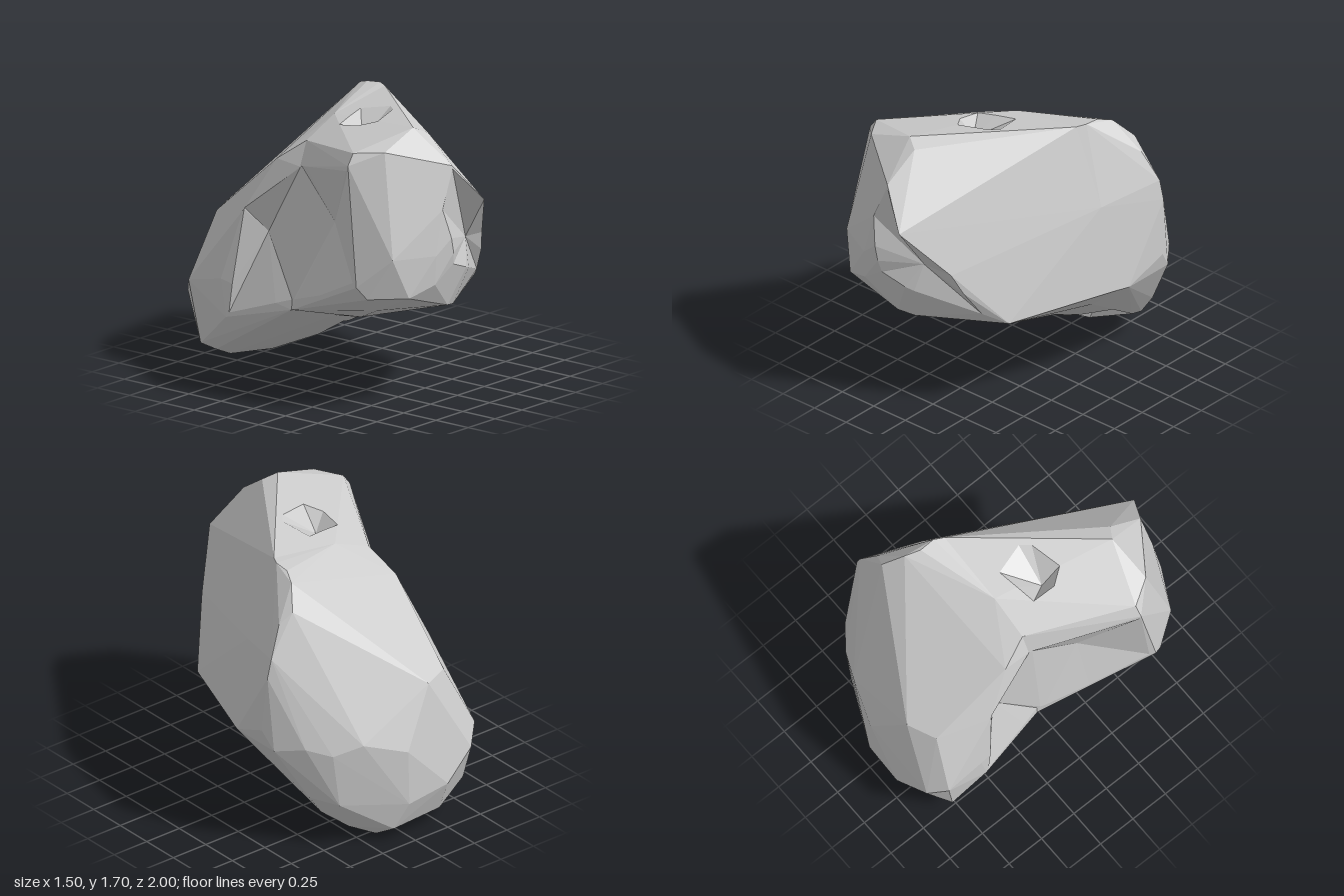
import * as THREE from 'three';
import { ConvexGeometry } from 'three/addons/geometries/ConvexGeometry.js';

const WAIST_Z = -0.12;

// Shared cross-section where the front block meets the back slab
const waist = [
  [-0.36, 1.5], [-0.1, 1.61], [0.37, 1.68], [0.57, 1.2], [0.69, 0.67], [0.5, 0.5],
  [0.2, 0.31], [-0.1, 0.36], [-0.5, 0.48], [-0.42, 1.35],
].map(([x, y]) => [x, y, WAIST_Z]);

// Front block
const front = [
  [-0.28, 1.7, 0.64], [-0.2, 1.66, 0.69], [-0.57, 1.61, 0.66], [-0.67, 1.6, 0.5],
  [-0.72, 1.53, 0.5], [-0.75, 0.8, 0.59], [-0.72, 0.73, 0.65], [-0.65, 0.98, 0.79],
  [-0.57, 0.74, 0.85], [-0.4, 0.8, 0.91], [-0.4, 0.98, 0.92], [-0.33, 1.25, 0.91],
  [-0.23, 1.5, 0.9], [-0.05, 1.27, 1], [0.03, 1.1, 0.96], [0.18, 0.98, 0.79],
  [-0.56, 0.62, 0.6], [-0.55, 0.63, 0.19], [-0.55, 1.43, 0.17], [-0.2, 0.62, 0.84],
  [-0.1, 0.6, 0.8], [0.3, 0.7, 0.65], [0.42, 0.63, 0.54], [-0.3, 0.46, 0.25],
  [0.05, 0.44, 0.2], ...waist,
];

// Rim of the hollow under the slab
const lowerRim = [
  [0.14, 0.25, -0.25], [0.17, 0.12, -0.47], [0.42, 0.2, -0.57], [0.45, 0.34, -0.36],
];

// Back slab, sloping down to the ground
const back = [
  [0.4, 1.685, -0.18], [0.4, 1.675, -0.28], [0.44, 1.645, -0.37], [0.52, 1.52, -0.48],
  [0.6, 1.45, -0.45], [0.7, 1.27, -0.5], [0.73, 1.15, -0.5], [0.75, 0.79, -0.47],
  [0.72, 0.67, -0.2], [0.72, 0.67, -0.55], [0.6, 0.7, -0.7], [0.47, 0.65, -0.8],
  [0.3, 0.7, -0.88], [0.03, 0.6, -0.97], [-0.2, 0.95, -0.88], [-0.38, 0.95, -0.8],
  [-0.25, 0.3, -1], [0.03, 0.25, -0.98], [-0.47, 0.45, -0.95], [-0.57, 0.55, -0.86],
  [-0.53, 0.16, -0.8], [-0.57, 0.37, -0.57], [-0.57, 0.6, -0.61], [-0.51, 1.03, -0.49],
  [-0.42, 1.37, -0.3], [-0.47, 0.12, -0.73], [-0.3, 0.05, -0.76], [0.08, 0, -0.75],
  [0.14, 0.01, -0.8], [0.3, 0.09, -0.74], [0.43, 0.19, -0.64], [0.52, 0.32, -0.64],
  [0.42, 0.3, -0.8], [0.1, 0.08, -0.92], [-0.25, 0.1, -0.92],
  ...lowerRim, ...waist,
];

// Hollows: a convex rim (counter-clockwise from outside), the way it opens, its deepest point
const hollows = [
  { // dent on top
    rim: [[-0.26, 1.6, 0.05], [-0.27, 1.6, 0.2], [-0.2, 1.6, 0.3], [0, 1.6, 0.25], [0.05, 1.6, 0.19], [0, 1.6, 0]],
    open: [0, 1, 0], pit: [-0.19, 1.52, 0.17],
  },
  { // notch across the front
    rim: [[-0.23, 1.48, 0.9], [-0.33, 1.25, 0.9], [-0.25, 0.9, 0.9], [0.3, 0.7, 0.9], [0.18, 0.98, 0.9], [-0.05, 1.27, 0.9]],
    open: [0, 0, 1], pit: [-0.01, 1, 0.82],
  },
  { // recessed right side
    rim: [[-0.5, 1.5, 0.5], [-0.5, 1.36, -0.1], [-0.5, 0.55, -0.1], [-0.5, 0.65, 0.19], [-0.5, 0.82, 0.55]],
    open: [-1, 0, 0], pit: [-0.48, 1.08, 0.2],
  },
  { // fold between block and slab
    rim: [[-0.5, 1.36, -0.1], [-0.5, 1.05, -0.48], [-0.5, 0.4, -0.55], [-0.5, 0.55, -0.1]],
    open: [-1, 0, 0], pit: [-0.4, 0.9, -0.38],
  },
  { rim: lowerRim, open: [0.3, -0.8, 0.5], pit: [0.26, 0.32, -0.48] }, // hollow underneath
];

const toVec = (p) => new THREE.Vector3(...p);
const key = (v) => v.toArray().map((n) => Math.round(n * 10000)).join();

// Triangles of a hull, leaving out the inner face at the waist
function hullTriangles(points) {
  const pos = new ConvexGeometry(points.map(toVec)).attributes.position;
  const tris = [];
  for (let i = 0; i < pos.count; i += 3) {
    const tri = [0, 1, 2].map((k) => new THREE.Vector3().fromBufferAttribute(pos, i + k));
    if (tri.some((v) => Math.abs(v.z - WAIST_Z) > 1e-4)) tris.push(tri);
  }
  return tris;
}

// The part of a polygon on one side of a plane
function clip(poly, plane, side) {
  return poly.flatMap((a, i) => {
    const b = poly[(i + 1) % poly.length];
    const da = side * plane.distanceToPoint(a);
    const db = side * plane.distanceToPoint(b);
    const kept = da >= 0 ? [a] : [];
    if (da * db < 0) kept.push(a.clone().lerp(b, da / (da - db)));
    return kept;
  });
}

// Cuts the rim out of the skin and closes it with a fan that runs down to the pit
function carve(tris, { rim, open, pit }) {
  const dir = toVec(open);
  const corners = rim.map(toVec);
  const planes = corners.map((p, i) => {
    const along = corners[(i + 1) % corners.length].clone().sub(p);
    return new THREE.Plane().setFromNormalAndCoplanarPoint(along.cross(dir).normalize(), p);
  });
  const result = [];
  const edges = new Map();
  for (const tri of tris) {
    const facing = new THREE.Triangle(...tri).getNormal(new THREE.Vector3()).dot(dir) > 0;
    let piece = facing ? tri : [];
    const outer = [];
    for (const plane of planes) {
      outer.push(clip(piece, plane, 1));
      piece = clip(piece, plane, -1);
    }
    if (piece.length < 3) {
      result.push(tri);
      continue;
    }
    for (const poly of outer) {
      for (let k = 2; k < poly.length; k++) result.push([poly[0], poly[k - 1], poly[k]]);
    }
    piece.forEach((a, k) => {
      const b = piece[(k + 1) % piece.length];
      const reverse = key(b) + '|' + key(a);
      if (edges.has(reverse)) edges.delete(reverse);
      else if (key(a) !== key(b)) edges.set(key(a) + '|' + key(b), [a, b]);
    });
  }
  for (const [a, b] of edges.values()) result.push([a, b, toVec(pit)]);
  return result;
}

export function createModel() {
  const group = new THREE.Group();
  group.name = 'boulder';

  const skin = [...hullTriangles(front), ...hullTriangles(back)];
  const tris = hollows.reduce(carve, skin);

  const geometry = new THREE.BufferGeometry().setFromPoints(tris.flat());
  geometry.computeVertexNormals();
  const material = new THREE.MeshStandardMaterial({
    color: 0xcccccc, flatShading: true, side: THREE.DoubleSide,
  });
  const rock = new THREE.Mesh(geometry, material);
  rock.name = 'rock';
  group.add(rock);
  return group;
}
